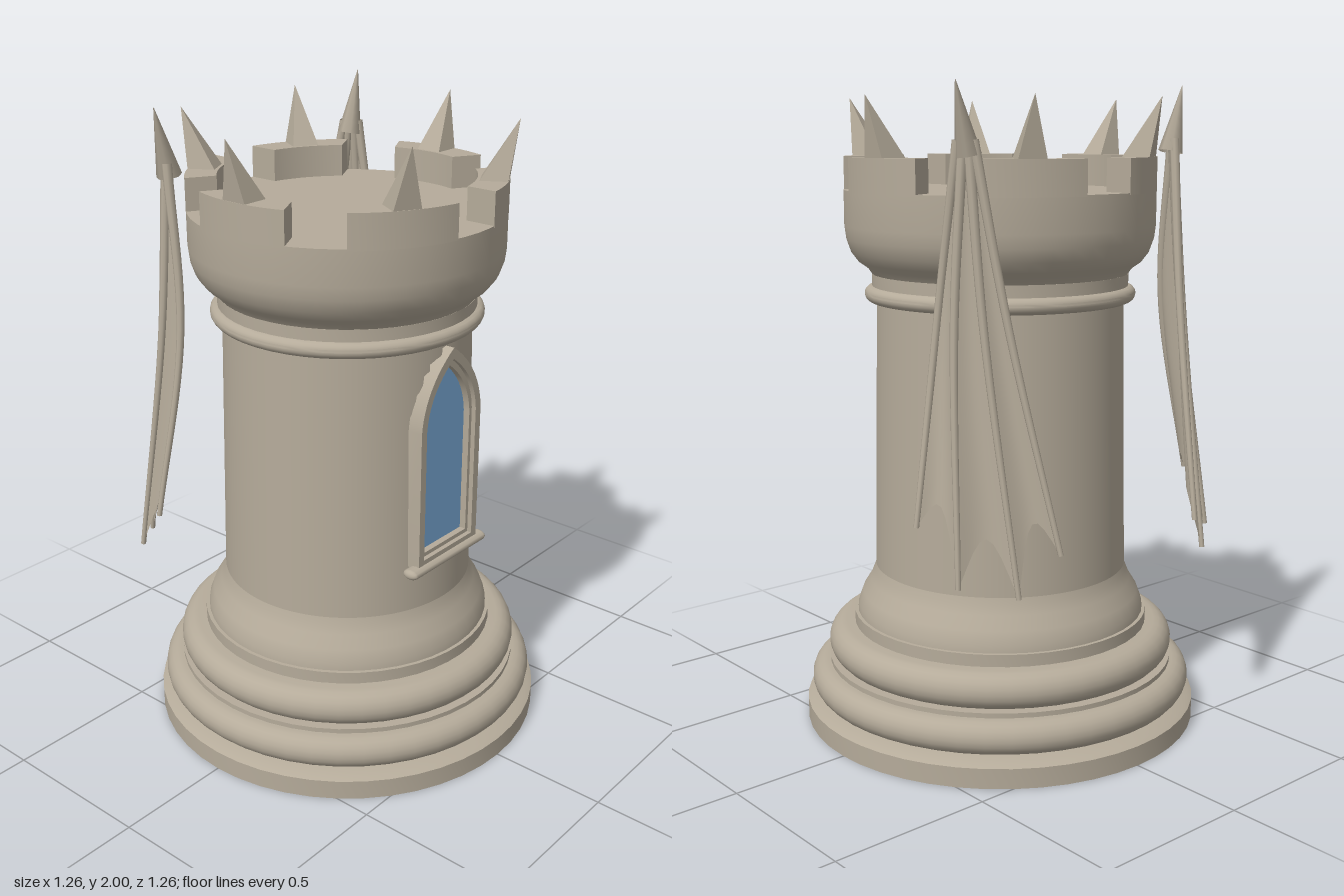
import * as THREE from 'three';
import { toCreasedNormals } from 'three/addons/utils/BufferGeometryUtils.js';

const V = (x, y, z) => new THREE.Vector3(x, y, z);

export function createModel() {
  const stone = new THREE.MeshStandardMaterial({ color: 0xb5ab9a, side: THREE.DoubleSide });
  stone.name = 'stone';
  const glass = new THREE.MeshStandardMaterial({ color: 0x7aaad6 });
  glass.name = 'window glass';

  const model = new THREE.Group();
  model.name = 'castleTower';
  const add = (name, geo, mat = stone, parent = model) => {
    const mesh = new THREE.Mesh(geo, mat);
    mesh.name = name;
    parent.add(mesh);
    return mesh;
  };
  const lathe = (pts, segs = 48) =>
    toCreasedNormals(new THREE.LatheGeometry(pts.map(p => new THREE.Vector2(...p)), segs), 0.6);
  // half-round moulding between two heights
  const moulding = (r, y0, y1, bulge) => {
    const pts = [[r - 0.12, y0]];
    for (let i = 0; i <= 10; i++) {
      const a = -Math.PI / 2 + (Math.PI * i) / 10;
      pts.push([r - bulge + bulge * Math.cos(a), (y0 + y1) / 2 + ((y1 - y0) / 2) * Math.sin(a)]);
    }
    pts.push([r - 0.12, y1]);
    return lathe(pts);
  };

  // stepped base
  add('basePlinth', lathe([[0, 0], [0.63, 0], [0.63, 0.062], [0.615, 0.07], [0.56, 0.085], [0.45, 0.085]]));
  add('lowerMoulding', moulding(0.613, 0.08, 0.185, 0.05));
  add('lowerStep', lathe([[0.4, 0.18], [0.555, 0.18], [0.555, 0.2], [0.4, 0.2]]));
  add('upperMoulding', moulding(0.556, 0.195, 0.31, 0.055));
  add('upperStep', lathe([[0.4, 0.3], [0.473, 0.3], [0.473, 0.348], [0.4, 0.35]]));
  add('flare', lathe([[0.4, 0.348], [0.462, 0.348], [0.46, 0.37], [0.445, 0.41], [0.42, 0.45], [0.408, 0.48], [0.402, 0.5]]));

  // pointed arch outline, drawn onto a shape or path
  const arch = (path, w, y0, spring, apex) => {
    path.moveTo(-w, y0);
    path.lineTo(w, y0);
    path.lineTo(w, spring);
    path.quadraticCurveTo(w * 0.92, spring + (apex - spring) * 0.6, 0, apex);
    path.quadraticCurveTo(-w * 0.92, spring + (apex - spring) * 0.6, -w, spring);
    path.closePath();
    return path;
  };

  // column, flattened behind the window
  const columnPts = [];
  for (let i = 0; i <= 30; i++) {
    const t = i / 30;
    columnPts.push(new THREE.Vector2(0.402 - 0.018 * t, 0.5 + 0.93 * t));
  }
  const column = new THREE.LatheGeometry(columnPts, 96);
  const cp = column.attributes.position;
  for (let i = 0; i < cp.count; i++) {
    const x = Math.abs(cp.getX(i)), y = cp.getY(i), z = cp.getZ(i);
    const halfWidth = y < 1.1 ? 0.135 : 0.135 * Math.sqrt(Math.max(0, (1.31 - y) / 0.21));
    if (z > 0 && y > 0.65 && x < halfWidth) cp.setZ(i, Math.min(z, 0.362));
  }
  add('column', column);

  // window
  const framed = (wo, yo, so, ao, wi, yi, si, ai, z0, z1) => {
    const s = arch(new THREE.Shape(), wo, yo, so, ao);
    s.holes.push(arch(new THREE.Path(), wi, yi, si, ai));
    const g = new THREE.ExtrudeGeometry(s, { depth: z1 - z0, bevelEnabled: false, curveSegments: 12 });
    g.translate(0, 0, z0);
    return toCreasedNormals(g, 0.5);
  };
  add('windowFrame', framed(0.147, 0.65, 1.1, 1.33, 0.122, 0.675, 1.1, 1.295, 0.35, 0.41));
  add('windowLining', framed(0.13, 0.66, 1.1, 1.3, 0.11, 0.688, 1.09, 1.272, 0.35, 0.395));
  const pane = new THREE.ShapeGeometry(arch(new THREE.Shape(), 0.115, 0.68, 1.09, 1.28));
  add('windowPane', pane.translate(0, 0, 0.374), glass);
  const sill = new THREE.CapsuleGeometry(0.016, 0.345, 6, 12);
  sill.rotateZ(Math.PI / 2).scale(1, 1, 1.7).translate(0, 0.645, 0.4);
  add('windowSill', sill);

  // collar and battlement
  add('collar', moulding(0.423, 1.345, 1.395, 0.026));
  add('neckRing', lathe([[0.37, 1.39], [0.4, 1.39], [0.4, 1.432], [0.37, 1.432]]));
  add('battlementBowl', lathe([[0.37, 1.43], [0.398, 1.43], [0.412, 1.45], [0.44, 1.47], [0.463, 1.5],
    [0.477, 1.54], [0.482, 1.58], [0.482, 1.688], [0, 1.688]]));

  const R = 0.482, r = 0.387, gap = 0.086;
  const aOut = Math.PI / 6 - Math.asin(gap / R), aIn = Math.PI / 6 - Math.asin(gap / r);
  const merlonShape = new THREE.Shape();
  merlonShape.absarc(0, 0, R, -aOut, aOut, false);
  merlonShape.absarc(0, 0, r, aIn, -aIn, true);
  merlonShape.closePath();
  const merlonGeo = toCreasedNormals(new THREE.ExtrudeGeometry(merlonShape,
    { depth: 0.105, bevelEnabled: false, curveSegments: 8 }).rotateX(-Math.PI / 2).translate(0, 1.683, 0), 0.5);

  // four-sided spike with an outward-leaning tip
  const spikeGeo = new THREE.ConeGeometry(0.06, 0.18, 4, 1).toNonIndexed();
  spikeGeo.rotateY(Math.PI / 4).translate(0, 0.09, 0);
  const sp = spikeGeo.attributes.position;
  for (let i = 0; i < sp.count; i++) sp.setX(i, sp.getX(i) + 0.437 + (sp.getY(i) / 0.18) * 0.068);
  spikeGeo.translate(0, 1.785, 0);
  spikeGeo.computeVertexNormals();

  for (let i = 0; i < 6; i++) {
    const a = (i * Math.PI) / 3;
    add('merlon', merlonGeo).rotation.y = a;
    add('spike', spikeGeo).rotation.y = a;
  }

  // tube that narrows along a curve
  const taperedTube = (curve, r0, r1, segs = 20, sides = 8) => {
    const g = new THREE.TubeGeometry(curve, segs, 1, sides);
    const p = g.attributes.position;
    for (let i = 0; i < p.count; i++) {
      const t = Math.floor(i / (sides + 1)) / segs;
      const c = curve.getPointAt(t), rad = r0 + (r1 - r0) * t;
      const q = V(p.getX(i), p.getY(i), p.getZ(i)).sub(c).multiplyScalar(rad).add(c);
      p.setXYZ(i, q.x, q.y, q.z);
    }
    return g;
  };

  // folded wing: four ribs fanning down from a claw
  const out = V(0.79, 0, -0.61), side = V(0.61, 0, 0.79);
  const root = V(0.415, 1.84, -0.335);
  const ribEnds = [
    [V(0.458, 1.35, -0.262), V(0.56, 0.77, -0.287)],
    [V(0.462, 1.32, -0.34), V(0.518, 0.61, -0.42)],
    [V(0.405, 1.32, -0.4), V(0.385, 0.58, -0.525)],
    [V(0.35, 1.33, -0.44), V(0.28, 0.7, -0.583)],
  ];
  const ribs = ribEnds.map(([mid, tip], i) => new THREE.CatmullRomCurve3(
    [root.clone().addScaledVector(side, 0.022 - i * 0.015), mid, tip]));

  const membrane = (c0, c1) => {
    const nu = 8, nv = 18, pos = [], idx = [];
    for (let v = 0; v <= nv; v++) {
      for (let u = 0; u <= nu; u++) {
        const s = Math.sin((Math.PI * u) / nu);
        const t = (v / nv) * (1 - 0.12 * s);
        const p = c0.getPointAt(t).lerp(c1.getPointAt(t), u / nu).addScaledVector(out, -0.03 * s * t);
        pos.push(p.x, p.y, p.z);
        if (u < nu && v < nv) {
          const a = v * (nu + 1) + u, b = a + nu + 1;
          idx.push(a, b, a + 1, b, b + 1, a + 1);
        }
      }
    }
    const g = new THREE.BufferGeometry();
    g.setAttribute('position', new THREE.Float32BufferAttribute(pos, 3));
    g.setIndex(idx);
    // keep the faces turned away from the tower
    g.computeVertexNormals();
    const n = g.attributes.normal, k = Math.floor(n.count / 2);
    if (n.getX(k) * out.x + n.getZ(k) * out.z < 0) {
      g.setIndex(idx.slice().reverse());
      g.computeVertexNormals();
    }
    return g;
  };

  const claw = taperedTube(new THREE.LineCurve3(V(0.405, 1.8, -0.335), V(0.45, 2, -0.337)), 0.038, 0.001, 6);
  for (const [name, mirror] of [['leftWing', 1], ['rightWing', -1]]) {
    const wing = new THREE.Group();
    wing.name = name;
    wing.scale.x = mirror;
    ribs.forEach((c, i) => {
      add('wingRib', taperedTube(c, 0.015, 0.008), stone, wing);
      if (i < 3) add('wingMembrane', membrane(c, ribs[i + 1]), stone, wing);
    });
    add('wingClaw', claw, stone, wing);
    model.add(wing);
  }
  return model;
}
